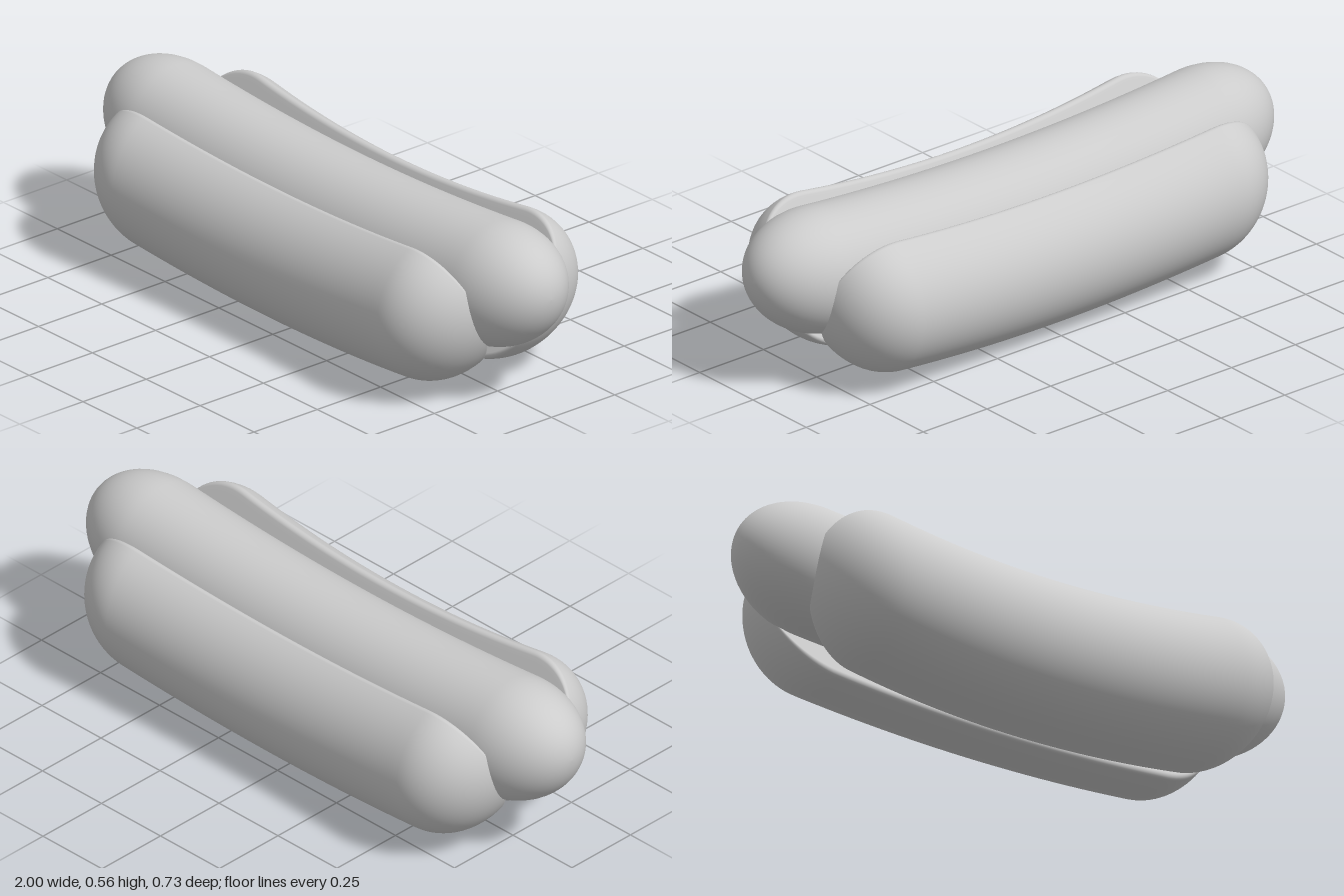
import * as THREE from 'three';

const material = new THREE.MeshStandardMaterial({ color: 0xcccccc });

// Lofts a closed section along x, with elliptical end caps and a parabolic bend.
// section: [side, up] pairs, counter-clockwise; tilt turns the section about x.
function loft(name, section, { straight, cap, bend, tilt = 0, z = 0, y = 0 }) {
  const stations = [];
  const capSteps = 20, bodySteps = 32;
  for (let i = 0; i <= capSteps; i++) {
    const a = (i / capSteps) * Math.PI / 2;
    stations.push([-straight - cap * Math.cos(a), Math.sin(a)]);
  }
  for (let i = 1; i < bodySteps; i++) stations.push([straight * (2 * i / bodySteps - 1), 1]);
  for (let i = 0; i <= capSteps; i++) {
    const a = (i / capSteps) * Math.PI / 2;
    stations.push([straight + cap * Math.sin(a), Math.cos(a)]);
  }

  const n = section.length, positions = [], index = [];
  const c = Math.cos(tilt), s = Math.sin(tilt);
  stations.forEach(([x, scale], i) => {
    section.forEach(([side, up], j) => {
      const w = side * scale, u = up * scale + bend * x * x;
      positions.push(x, y + c * u - s * w, z + s * u + c * w);
      if (i === stations.length - 1) return;
      const k = (j + 1) % n, a = i * n, b = a + n;
      index.push(a + j, b + j, a + k, b + j, b + k, a + k);
    });
  });

  const geometry = new THREE.BufferGeometry();
  geometry.setAttribute('position', new THREE.Float32BufferAttribute(positions, 3));
  geometry.setIndex(index);
  geometry.computeVertexNormals();
  const mesh = new THREE.Mesh(geometry, material);
  mesh.name = name;
  return mesh;
}

// Points of an arc [cx + r cos, cy + r sin]
function arc(cx, cy, rx, ry, from, to, steps) {
  return Array.from({ length: steps + 1 }, (_, i) => {
    const a = from + (to - from) * i / steps;
    return [cx + rx * Math.cos(a), cy + ry * Math.sin(a)];
  });
}

// Half-round section with softened corners and a flat inner face
function bunSection(radius, fillet) {
  const h = Math.sqrt((radius - fillet) ** 2 - fillet ** 2);
  const edge = Math.atan2(h, fillet);
  const flat = [0.94, 0.6, 0.2, -0.2, -0.6, -0.94].map(t => [0, h * t]);
  return [
    ...arc(fillet, -h, fillet, fillet, -Math.PI, -edge, 6),
    ...arc(0, 0, radius, radius, -edge, edge, 36).slice(1, -1),
    ...arc(fillet, h, fillet, fillet, edge, Math.PI, 6),
    ...flat,
  ];
}

export function createModel() {
  const group = new THREE.Group();
  group.name = 'hotDog';

  // Sausage, slightly taller than wide and curving up at both ends
  const round = arc(0, 0, 0.188, 0.2, 0, Math.PI * 2, 48).slice(0, -1);
  group.add(loft('sausage', round, { straight: 0.74, cap: 0.26, bend: 0.063, y: 0.325 }));

  // Two bun halves leaning outward, meeting along the bottom
  const half = bunSection(0.243, 0.016);
  const options = { straight: 0.615, cap: 0.217, bend: 0.11, tilt: 0.434, z: 0.102, y: 0.243 };
  const frontBun = loft('frontBun', half, options);
  const backBun = loft('backBun', half, options);
  backBun.rotation.y = Math.PI;
  group.add(frontBun, backBun);

  return group;
}
